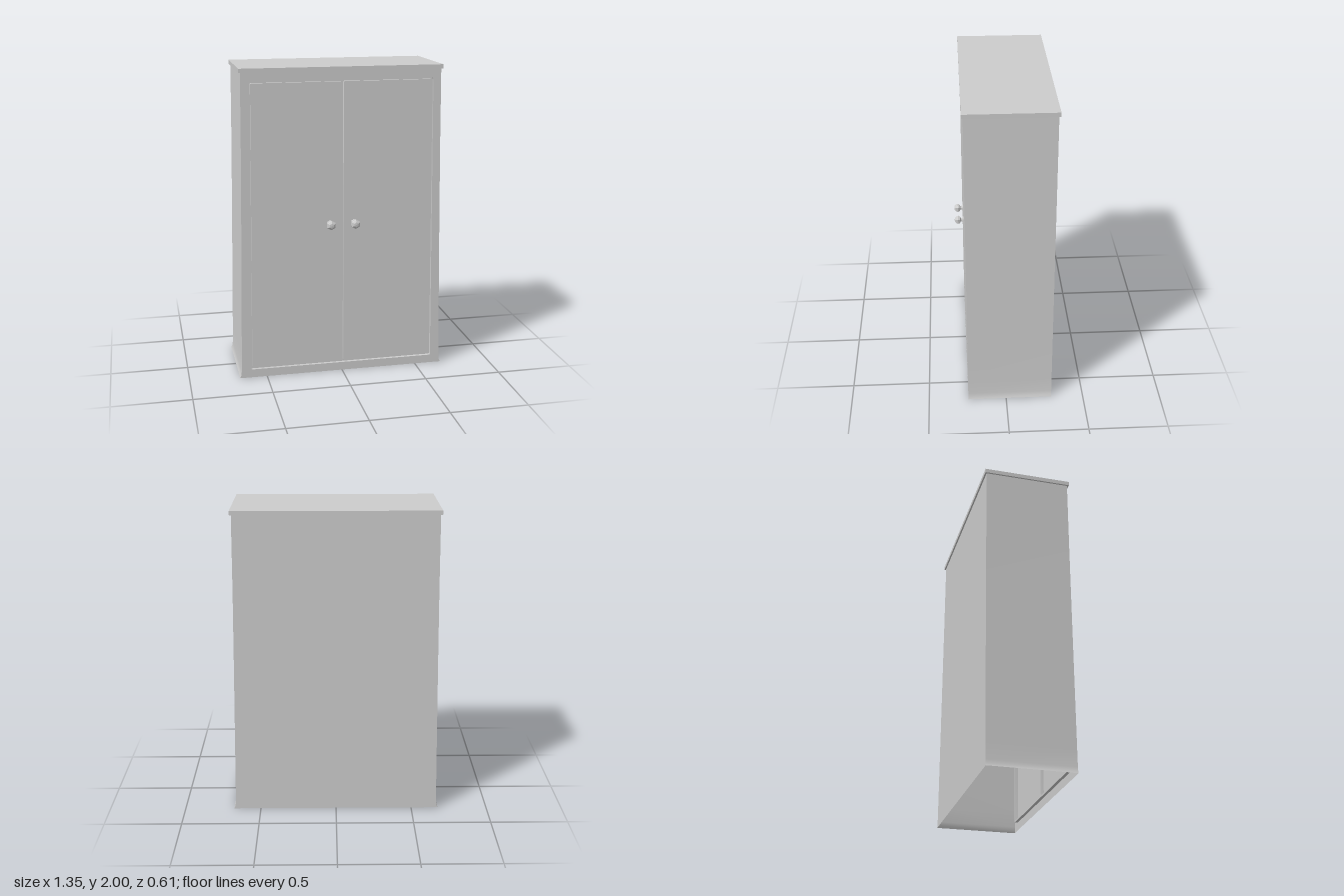
import * as THREE from 'three';
import { toCreasedNormals } from 'three/addons/utils/BufferGeometryUtils.js';

const FRONT = 0.245, BACK = -0.295, GROOVE = 0.02;
const material = new THREE.MeshStandardMaterial({ color: 0xcccccc, side: THREE.DoubleSide });
const knobMaterial = new THREE.MeshStandardMaterial({ color: 0xcccccc, flatShading: true });

function part(name, geometry, mat = material) {
  const mesh = new THREE.Mesh(geometry, mat);
  mesh.name = name;
  return mesh;
}

const v = (x, y) => new THREE.Vector2(x, y);

// Flat panel at depth z
function panel(points, z, holes = []) {
  const shape = new THREE.Shape(points);
  shape.holes = holes.map((h) => new THREE.Path(h));
  return new THREE.ShapeGeometry(shape).translate(0, 0, z);
}

// Strip swept along z from an xy path
function wall(path, zBack, zFront) {
  const positions = [], index = [];
  path.forEach((p, i) => {
    positions.push(p.x, p.y, zBack, p.x, p.y, zFront);
    if (i) {
      const a = 2 * (i - 1);
      index.push(a, a + 2, a + 1, a + 2, a + 3, a + 1);
    }
  });
  const g = new THREE.BufferGeometry();
  g.setAttribute('position', new THREE.Float32BufferAttribute(positions, 3));
  g.setIndex(index);
  return toCreasedNormals(g, 0.6);
}

// Outline with small rounded corners
function rounded(corners, r) {
  const out = [];
  corners.forEach((c, i) => {
    const prev = corners[(i + corners.length - 1) % corners.length];
    const next = corners[(i + 1) % corners.length];
    const a = c.clone().add(prev.clone().sub(c).setLength(r));
    const b = c.clone().add(next.clone().sub(c).setLength(r));
    out.push(...new THREE.QuadraticBezierCurve(a, c, b).getPoints(3));
  });
  return out;
}

const mirrored = (points) => points.map((p) => v(-p.x, p.y)).reverse();
const closed = (points) => [...points, points[0]];

export function createModel() {
  const model = new THREE.Group();
  model.name = 'wardrobe';

  // Tapered sides with a flared foot, bottom left open
  const side = [
    v(0.677, 0), v(0.67, 0.015), v(0.666, 0.04), v(0.663, 0.15), v(0.657, 0.45),
    v(0.646, 1), v(0.637, 1.5), v(0.631, 1.98),
  ];
  const outline = [...side, ...mirrored(side)];
  const opening = rounded([v(-0.606, 0.054), v(0.606, 0.054), v(0.582, 1.917), v(-0.582, 1.917)], 0.012);
  const door = rounded([v(0.008, 0.064), v(0.595, 0.064), v(0.571, 1.909), v(0.008, 1.909)], 0.006);
  const doors = [door, mirrored(door)];

  model.add(
    part('leftSide', wall(side, BACK, FRONT)),
    part('rightSide', wall(mirrored(side), BACK, FRONT)),
    part('backPanel', panel(outline, BACK).rotateY(Math.PI).translate(0, 0, 2 * BACK)),
    part('frontFrame', panel(outline, FRONT, [opening])),
  );

  // Sunken groove around and between the doors
  model.add(
    part('grooveFloor', panel(opening, FRONT - GROOVE, doors)),
    part('grooveRim', wall(closed(opening).reverse(), FRONT - GROOVE, FRONT)),
  );

  // Doors with faceted knobs
  const knobProfile = [
    v(0, 0), v(0.026, 0), v(0.024, 0.006), v(0.012, 0.012), v(0.013, 0.019),
    v(0.026, 0.025), v(0.031, 0.036), v(0.028, 0.047), v(0.016, 0.057), v(0, 0.059),
  ];
  doors.forEach((points, i) => {
    const group = new THREE.Group();
    group.name = i ? 'rightDoor' : 'leftDoor';
    const knob = part('knob', new THREE.LatheGeometry(knobProfile, 6).rotateX(Math.PI / 2), knobMaterial);
    knob.position.set(i ? -0.079 : 0.079, 1.005, FRONT);
    group.add(
      part('doorFace', panel(points, FRONT)),
      part('doorEdge', wall(closed(points), FRONT - GROOVE, FRONT)),
      knob,
    );
    model.add(group);
  });

  // Overhanging top board
  const top = part('topBoard', new THREE.BoxGeometry(1.284, 0.026, 0.56));
  top.position.set(0, 1.987, -0.025);
  model.add(top);

  return model;
}
